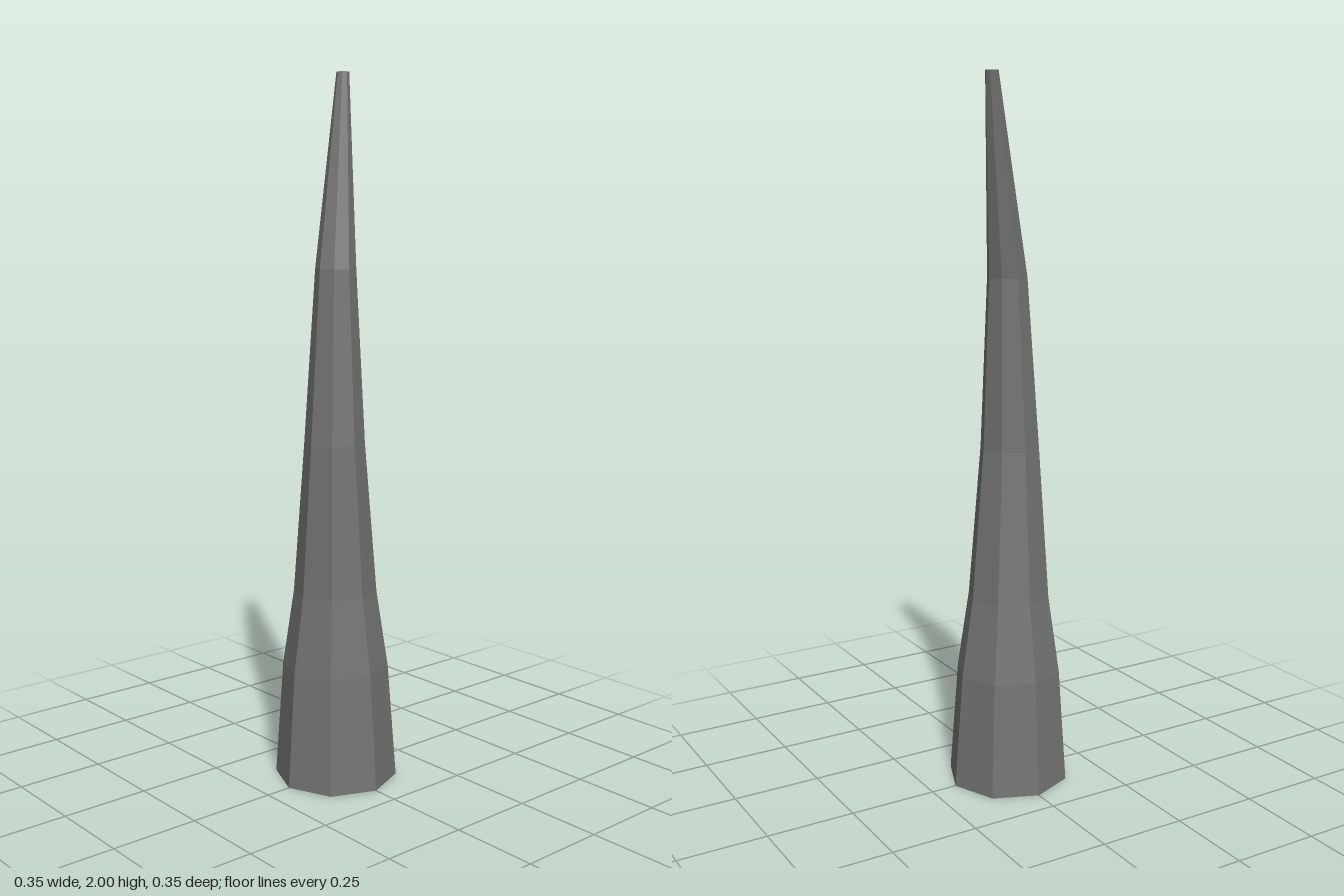
import * as THREE from 'three';

export function createModel() {
  const group = new THREE.Group();
  group.name = 'bentHorn';
  const grey = new THREE.MeshStandardMaterial({ color: 0x747474, flatShading: true });
  grey.name = 'stone grey';

  // Octagonal cross-sections from base to tip: [y, centre x, centre z, radius]
  const rings = [
    [0, 0, 0, 0.175],
    [0.33, 0, 0.002, 0.151],
    [0.55, 0.003, 0.005, 0.118],
    [0.98, 0.011, 0.014, 0.085],
    [1.46, -0.004, -0.003, 0.057],
    [2, -0.081, -0.095, 0.018],
  ];
  const sides = 8;

  // Cylinder whose rows are moved onto the cross-sections (rows run top to bottom)
  const rows = rings.length - 1;
  const geo = new THREE.CylinderGeometry(1, 1, 2, sides, rows);
  const pos = geo.attributes.position;
  for (let i = 0; i < pos.count; i++) {
    const row = Math.round(((pos.getY(i) + 1) / 2) * rows);
    const [y, cx, cz, r] = rings[row];
    pos.setXYZ(i, cx + pos.getX(i) * r, y, cz + pos.getZ(i) * r);
  }
  geo.computeVertexNormals();

  const horn = new THREE.Mesh(geo, grey);
  horn.name = 'hornShaft';
  group.add(horn);
  return group;
}
